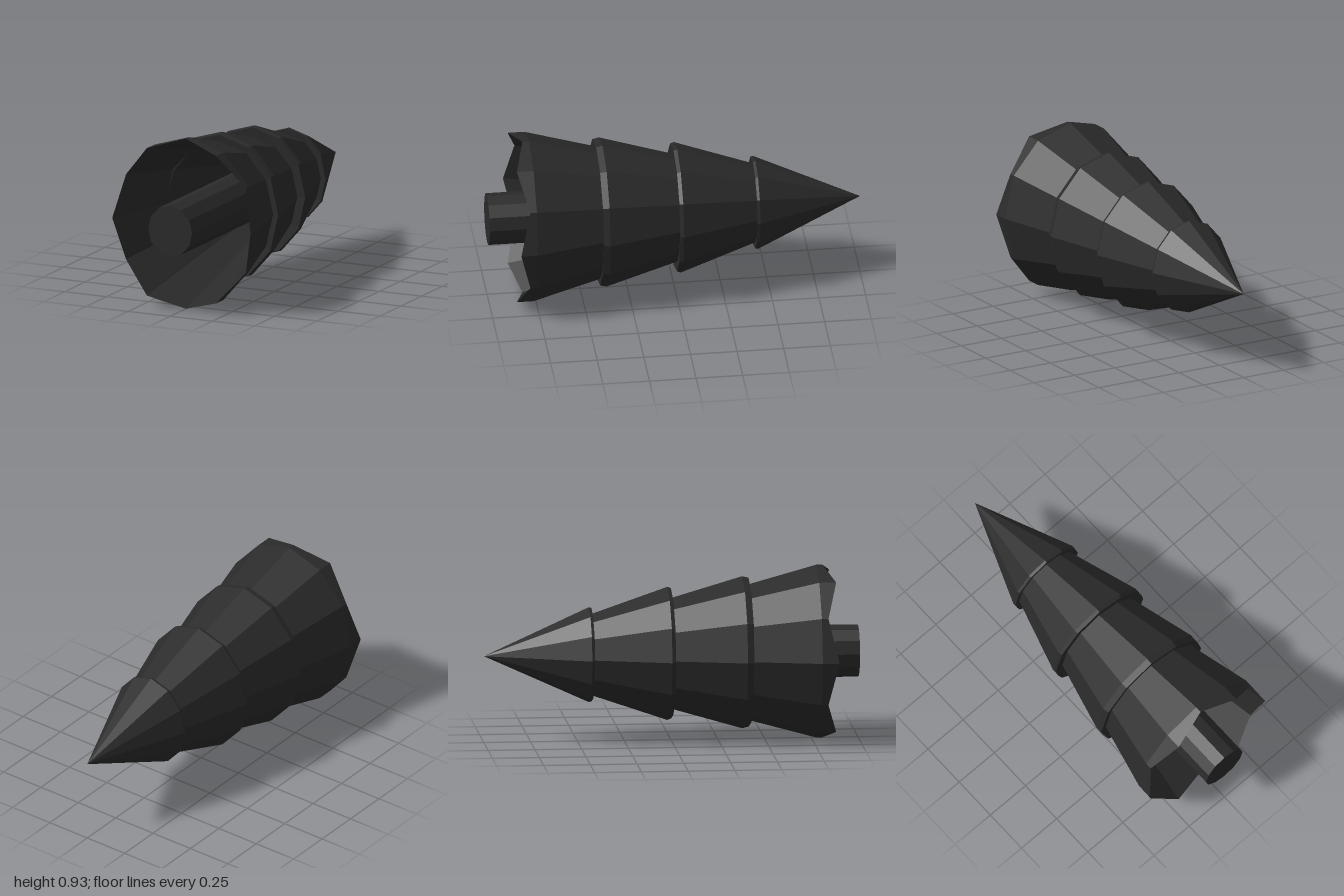
import * as THREE from 'three';

const SIDES = 12;
const CENTER_Y = 0.467;

export function createModel() {
  const group = new THREE.Group();
  group.name = 'lyingFirTree';
  const material = new THREE.MeshStandardMaterial({
    color: 0x2a2a2a, flatShading: true, side: THREE.DoubleSide,
  });

  // Faceted oval loft along z; profile holds [half width, z, zigzag] points
  function addLoft(name, profile, stretchY) {
    const geo = new THREE.LatheGeometry(profile.map(([r, z]) => new THREE.Vector2(r, z)), SIDES);
    const pos = geo.attributes.position;
    for (let i = 0; i <= SIDES; i++) {
      profile.forEach(([, z, zig = 0], j) => {
        if (i % 2) pos.setY(i * profile.length + j, z + zig);
      });
    }
    geo.rotateX(Math.PI / 2);
    geo.scale(1, stretchY, 1);
    geo.translate(0, CENTER_Y, 0);
    geo.computeVertexNormals();
    const mesh = new THREE.Mesh(geo, material);
    mesh.name = name;
    group.add(mesh);
  }

  // Trunk running deep into the hollow skirt
  addLoft('trunk', [[0, -0.4], [0.13, -0.4], [0.13, 1], [0, 1]], 1.085);

  // Lowest tier: scalloped rim and a deep tapering hollow
  addLoft('lowestBranches', [
    [0.32, 0.405], [0.41, 0.775], [0.41, 0.81, 0.055], [0.13, -0.4],
  ], 1.137);

  // Upper tiers: each overlaps the next with a small bevelled rim
  addLoft('lowerBranches', [[0.26, -0.01], [0.361, 0.38], [0.354, 0.415], [0.31, 0.41]], 1.137);
  addLoft('upperBranches', [[0.19, -0.435], [0.316, -0.02], [0.31, 0], [0.25, -0.005]], 1.137);
  addLoft('treeTop', [[0, -1], [0.225, -0.44], [0.222, -0.425], [0.17, -0.43]], 1.137);

  return group;
}
